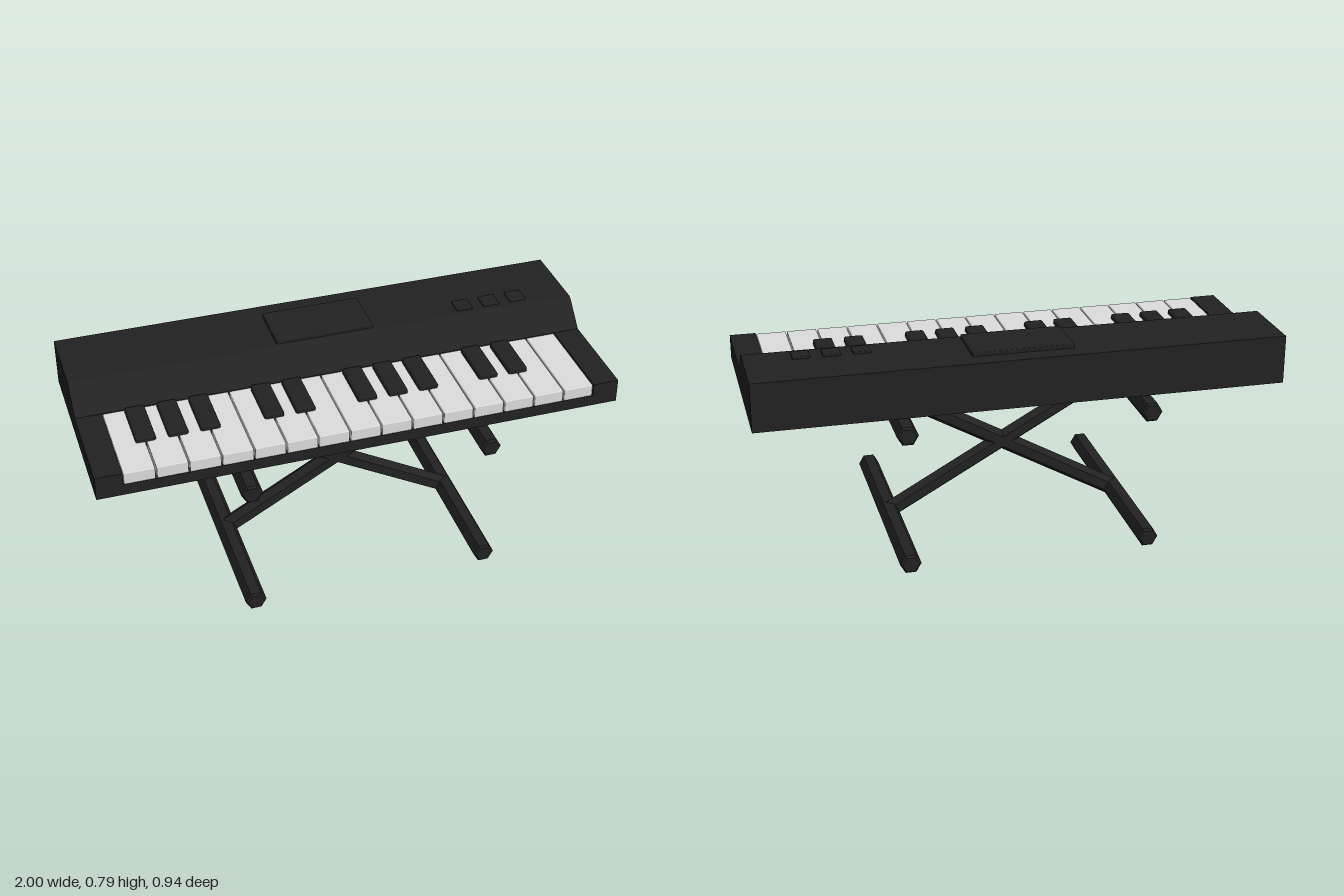
import * as THREE from 'three';
import { RoundedBoxGeometry } from 'three/addons/geometries/RoundedBoxGeometry.js';

const mat = (name, color) => {
  const m = new THREE.MeshStandardMaterial({ color });
  m.name = name;
  return m;
};

export function createModel() {
  const group = new THREE.Group();
  const black = mat('black plastic', 0x222222);
  const white = mat('key white', 0xdedede);

  const add = (name, geometry, material, x = 0, y = 0, z = 0) => {
    const mesh = new THREE.Mesh(geometry, material);
    mesh.name = name;
    mesh.position.set(x, y, z);
    group.add(mesh);
    return mesh;
  };
  // box given by its centre x, width, y range and z range
  const box = (name, material, x, w, y0, y1, z0, z1, r) =>
    add(name, new RoundedBoxGeometry(w, y1 - y0, z1 - z0, 1, r), material,
      x, (y0 + y1) / 2, (z0 + z1) / 2);

  // case: side profile in (z, y), swept along x; the middle has a lower key bed
  const casePart = (name, x, width, frontTop) => {
    const shape = new THREE.Shape([
      [-0.388, 0.587], [0.374, 0.587], [0.374, frontTop], [0.002, frontTop],
      [0.002, 0.682], [-0.08, 0.763], [-0.088, 0.77], [-0.1, 0.774], [-0.388, 0.774],
    ].map(([z, y]) => new THREE.Vector2(z, y)));
    const g = new THREE.ExtrudeGeometry(shape, { depth: width, bevelEnabled: false });
    g.translate(0, 0, -width / 2).rotateY(-Math.PI / 2);
    add(name, g, black, x);
  };
  casePart('caseMiddle', 0, 1.8, 0.632);
  for (const s of [-1, 1]) casePart(s > 0 ? 'leftCheek' : 'rightCheek', s * 0.95, 0.1, 0.681);

  // white keys
  const pitch = 0.12;
  for (let i = 0; i < 15; i++) {
    box('whiteKey', white, -0.9 + pitch * (i + 0.5), pitch - 0.005, 0.63, 0.679, 0, 0.373, 0.004);
  }
  // black keys sit over the joints between white keys
  for (const i of [1, 2, 3, 5, 6, 8, 9, 10, 12, 13]) {
    box('blackKey', black, -0.9 + pitch * i, 0.075, 0.64, 0.698, 0.008, 0.213, 0.008);
  }

  // display and buttons on the top panel
  box('display', black, -0.006, 0.385, 0.765, 0.789, -0.318, -0.113, 0.004);
  for (const x of [0.568, 0.679, 0.79]) {
    box('button', black, x, 0.066, 0.765, 0.783, -0.19, -0.124, 0.004);
  }

  // six-sided bar along y with chamfered ends
  const bar = (radius, length, chamfer) => {
    const h = length / 2;
    const pts = [[0, -h], [radius - chamfer, -h], [radius, -h + chamfer],
      [radius, h - chamfer], [radius - chamfer, h], [0, h]];
    const g = new THREE.LatheGeometry(pts.map(([r, y]) => new THREE.Vector2(r, y)), 6).toNonIndexed();
    g.computeVertexNormals();
    return g;
  };

  // feet and top supports running front to back
  const low = 0.036, high = 0.549, reach = 0.457;
  for (const s of [-1, 1]) {
    for (const y of [low, high]) {
      const g = bar(0.04, 0.935, 0.008);
      g.rotateY(Math.PI / 2).rotateX(Math.PI / 2);
      add(y === low ? 'foot' : 'topSupport', g, black, s * reach, y, 0);
    }
  }
  // crossed legs
  const rise = high - low;
  for (const s of [-1, 1]) {
    const g = bar(0.035, Math.hypot(2 * reach, rise), 0.004);
    g.rotateY(Math.PI / 6);
    const leg = add('crossLeg', g, black, 0, (low + high) / 2, 0.003);
    leg.rotation.z = s * Math.atan2(2 * reach, rise);
  }
  return group;
}
